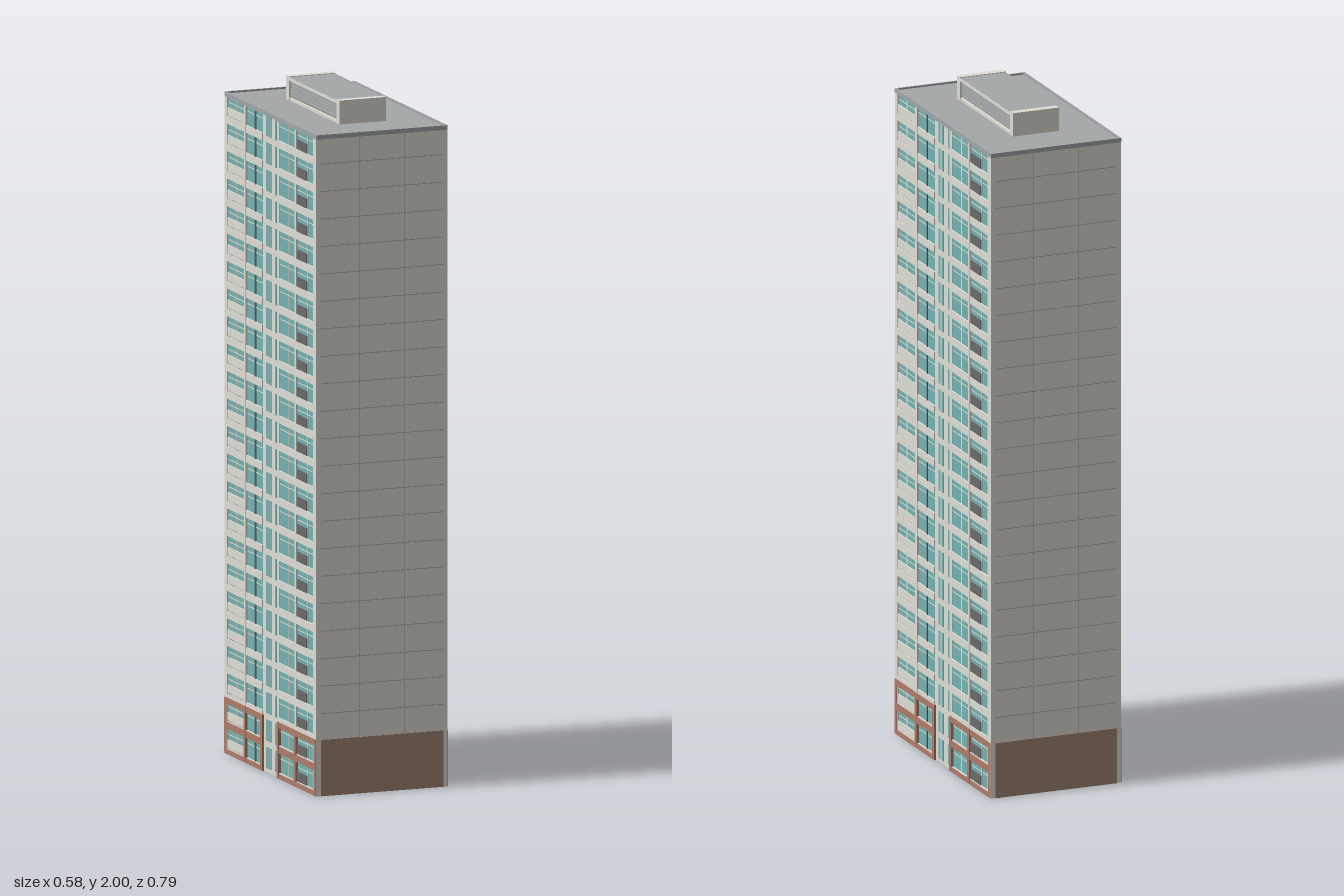
import * as THREE from 'three';
import { mergeGeometries } from 'three/addons/utils/BufferGeometryUtils.js';

const mat = (name, color) => {
  const m = new THREE.MeshStandardMaterial({ color });
  m.name = name;
  return m;
};

export function createModel() {
  const M = {
    wall: mat('pale concrete', 0xdfded5),
    glass: mat('teal glass', 0x74b3b3),
    brick: mat('brown cladding', 0xa08676),
    frame: mat('terracotta frame', 0xb07c69),
    roof: mat('roof grey', 0xa3a7a7),
    dark: mat('dark grey', 0x6a6a69),
    line: mat('joint grey', 0xa0a09c),
  };
  const FLOORS = 24, H = 1.93, FH = H / FLOORS;
  const HX = 0.203, HZ = 0.35, REC = 0.197; // facade face, half length, glazing plane

  // Collects boxes given by their limits, one merged mesh per part name.
  const builder = (group) => {
    const parts = {};
    return {
      box(name, m, x0, x1, y0, y1, z0, z1) {
        const g = new THREE.BoxGeometry(x1 - x0, y1 - y0, z1 - z0);
        g.translate((x0 + x1) / 2, (y0 + y1) / 2, (z0 + z1) / 2);
        (parts[name] ??= { m, list: [] }).list.push(g);
      },
      finish() {
        for (const [name, p] of Object.entries(parts)) {
          const mesh = new THREE.Mesh(mergeGeometries(p.list), p.m);
          mesh.name = name;
          group.add(mesh);
        }
        return group;
      },
    };
  };

  // Long window side, facing +x
  function facade() {
    const g = new THREE.Group();
    g.name = 'windowFacade';
    const b = builder(g);
    const TOP = H - 0.008;
    const bays = [[0.203, 0.334], [0.067, 0.19], [-0.184, -0.056], [-0.327, -0.194]];
    const pier = (z0, z1) => b.box('piers', M.wall, REC - 0.003, HX, 0, TOP, z0, z1);
    pier(0.334, HZ);
    pier(0.19, 0.203);
    pier(-0.194, -0.184);
    pier(-HZ, -0.327);
    // stair strip between the bays
    b.box('stairStrip', M.wall, REC - 0.003, 0.1985, 0, TOP, -0.056, 0.067);
    for (const [z0, z1] of bays) b.box('glazing', M.glass, REC - 0.003, REC, 0, TOP, z0, z1);

    for (let i = 0; i < FLOORS; i++) {
      const y = i * FH;
      for (const [z0, z1] of bays) {
        b.box('floorBands', M.wall, REC, HX - 0.001, Math.max(0, y - 0.006), y + 0.016, z0, z1);
        b.box('transoms', M.wall, REC, REC + 0.0008, y + 0.056, y + 0.0585, z0, z1);
      }
      // balcony parapet of the first bay
      b.box('parapets', M.wall, REC, HX - 0.002, y + 0.018, y + 0.042, ...bays[0]);
      b.box('parapetGaps', M.dark, REC, REC + 0.002, y + 0.016, y + 0.018, ...bays[0]);
      // mullions
      for (const z of [0.275, -0.124, -0.272])
        b.box('mullions', M.wall, REC, REC + 0.0008, y + 0.016, y + 0.0745, z - 0.0025, z + 0.0025);
      b.box('drainPipe', M.dark, REC, REC + 0.003, y + 0.016, y + 0.0745, 0.123, 0.128);
      // dark balcony panel of the last bay
      b.box('balconyPanels', M.dark, REC, REC + 0.004, y + 0.017, y + 0.045, -0.27, -0.198);
      // narrow stair windows
      for (const [z, w] of [[0.034, 0.014], [0.011, 0.014], [-0.033, 0.01]])
        b.box('stairWindows', M.glass, 0.1985, 0.1995, y + 0.012, y + 0.074, z - w / 2, z + w / 2);
    }
    // terracotta frames around the two lowest floors
    for (const [z0, z1] of [[0.06, 0.3495], [-0.3495, -0.05]]) {
      const mid = z0 > 0 ? 0.196 : -0.189;
      for (const [a, c] of [[0, 0.014], [0.074, 0.094], [0.148, 0.165]])
        b.box('baseFrames', M.frame, REC, HX + 0.0015, a, c, z0, z1);
      for (const z of [z0 + 0.007, mid, z1 - 0.007])
        b.box('baseFrames', M.frame, REC, HX + 0.002, 0.001, 0.164, z - 0.007, z + 0.007);
    }
    return b.finish();
  }

  // Blank end wall, facing +z
  function endWall() {
    const g = new THREE.Group();
    g.name = 'endWall';
    const b = builder(g);
    b.box('baseCladding', M.brick, -0.19, 0.19, 0, 0.165, HZ, HZ + 0.003);
    for (let i = 3; i < FLOORS; i++)
      b.box('panelJoints', M.line, -0.19, 0.19, i * FH - 0.001, i * FH + 0.001, HZ, HZ + 0.0006);
    for (const x of [-0.07, 0.07])
      b.box('panelJoints', M.line, x - 0.0008, x + 0.0008, 0.165, H - 0.01, HZ, HZ + 0.0006);
    return b.finish();
  }

  const tower = new THREE.Group();
  tower.name = 'tower';
  for (const turn of [0, Math.PI]) {
    const f = facade(), e = endWall();
    f.rotation.y = e.rotation.y = turn;
    tower.add(f, e);
  }

  const b = builder(tower);
  b.box('core', M.wall, -REC + 0.002, REC - 0.002, 0, H - 0.008, -HZ, HZ);
  // roof with a low rim
  b.box('roofSlab', M.roof, -HX, HX, H - 0.008, H, -HZ, HZ);
  for (const s of [-1, 1]) {
    const span = (c, h) => [s * c - h, s * c + h];
    b.box('roofRim', M.roof, ...span(0.2, 0.003), H - 0.008, H + 0.005, -0.353, 0.353);
    b.box('roofRim', M.roof, -0.203, 0.203, H - 0.008, H + 0.005, ...span(0.35, 0.003));
    // rooftop plant room ends
    b.box('plantRoomEnds', M.wall, -0.072, 0.072, H, 2, ...span(0.193, 0.011));
    // louvred sides
    for (let i = 0; i < 5; i++)
      b.box('louvres', M.roof, ...span(0.065, 0.003), 1.942 + i * 0.009, 1.948 + i * 0.009, -0.182, 0.182);
    b.box('plantRoomSill', M.wall, ...span(0.067, 0.004), H, 1.938, -0.182, 0.182);
    b.box('plantRoomHead', M.wall, ...span(0.0715, 0.0005), 1.988, 1.997, -0.182, 0.182);
  }
  b.box('plantRoomCore', M.dark, -0.062, 0.062, H, 1.987, -0.182, 0.182);
  b.box('plantRoomRoof', M.roof, -0.071, 0.071, 1.987, 1.998, -0.182, 0.182);
  b.finish();

  tower.rotation.y = -0.259;
  const model = new THREE.Group();
  model.name = 'apartmentTower';
  model.add(tower);
  return model;
}
